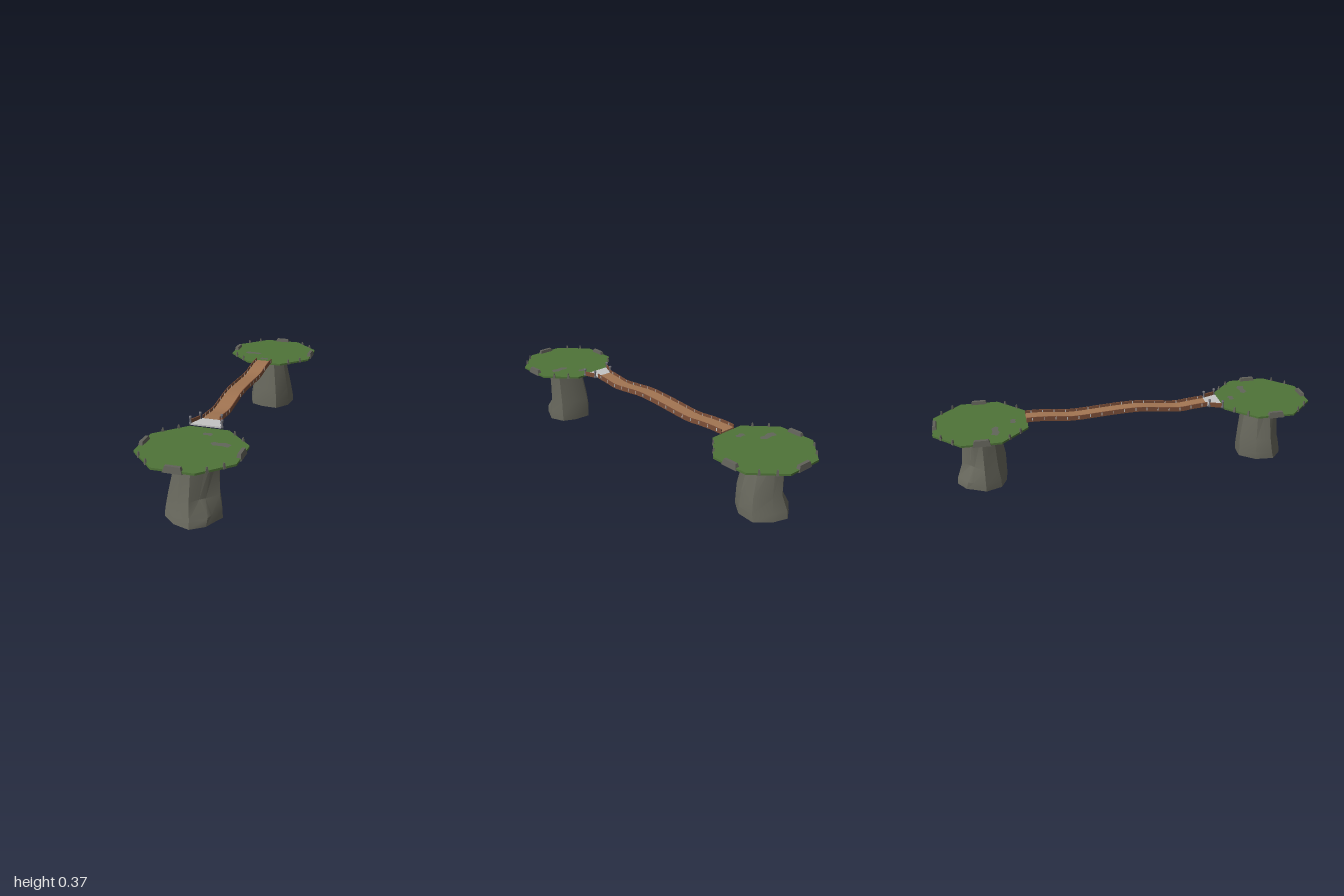
import * as THREE from 'three';
import { toCreasedNormals } from 'three/addons/utils/BufferGeometryUtils.js';

const mat = (name, color, side = THREE.FrontSide) => {
  const m = new THREE.MeshStandardMaterial({ color, side });
  m.name = name;
  return m;
};

export function createModel() {
  const grass = mat('grass', 0x4f7438);
  const rock = mat('rock', 0x69695e, THREE.DoubleSide);
  const stone = mat('edgeStone', 0x62625a);
  const patch = mat('barePatch', 0x62665a);
  const wood = mat('deckWood', 0xa27552);
  const darkWood = mat('railWood', 0x7d4f38);
  const pale = mat('paleStone', 0xc4c4c4);
  const iron = mat('postGrey', 0x74747c);

  const model = new THREE.Group();
  model.name = 'islandBridge';
  const add = (parent, name, geo, m, x = 0, y = 0, z = 0, ry = 0) => {
    const mesh = new THREE.Mesh(geo, m);
    mesh.name = name;
    mesh.position.set(x, y, z);
    mesh.rotation.y = ry;
    parent.add(mesh);
    return mesh;
  };

  // Box whose top is narrower than its base, standing on y = 0
  const taperedBox = (w, h, d, topW, topD) => {
    const g = new THREE.BoxGeometry(w, h, d).translate(0, h / 2, 0).toNonIndexed();
    const p = g.attributes.position;
    for (let i = 0; i < p.count; i++) {
      if (p.getY(i) > h / 2) p.setXYZ(i, p.getX(i) * topW / w, h, p.getZ(i) * topD / d);
    }
    g.computeVertexNormals();
    return g;
  };

  // Rock column lofted through irregular rings of [x, z]
  const rings = [
    [0, [[.141, 0], [.112, .06], [.095, .1], [.03, .146], [-.05, .12], [-.118, .06], [-.11, -.04], [-.05, -.117], [.04, -.11], [.11, -.08]]],
    [.04, [[.14, 0], [.11, .06], [.1, .09], [.03, .14], [-.045, .115], [-.117, .05], [-.11, -.04], [-.05, -.117], [.04, -.11], [.11, -.08]]],
    [.115, [[.128, 0], [.078, .05], [.055, .07], [.02, .112], [-.035, .1], [-.105, .04], [-.1, -.04], [-.045, -.117], [.04, -.105], [.105, -.07]]],
    [.32, [[.128, 0], [.115, .045], [.09, .06], [.03, .097], [-.02, .09], [-.06, .03], [-.062, -.03], [-.02, -.085], [.05, -.085], [.11, -.06]]],
  ];
  const columnGeometry = () => {
    const pos = [], index = [], n = rings[0][1].length;
    rings.forEach(([y, ring]) => ring.forEach(([x, z]) => pos.push(x, y, z)));
    for (let r = 0; r < rings.length - 1; r++) {
      for (let i = 0; i < n; i++) {
        const a = r * n + i, b = r * n + (i + 1) % n;
        index.push(a, a + n, b, b, a + n, b + n);
      }
    }
    const g = new THREE.BufferGeometry();
    g.setAttribute('position', new THREE.Float32BufferAttribute(pos, 3));
    g.setIndex(index);
    g.computeVertexNormals();
    return toCreasedNormals(g, 0.6);
  };

  const columnGeo = columnGeometry();
  const discGeo = new THREE.CylinderGeometry(.257, .257, .01, 8, 1, false, Math.PI / 8).toNonIndexed();
  discGeo.computeVertexNormals();
  const blockGeo = taperedBox(.09, .03, .026, .07, .016);
  const spikeGeo = taperedBox(.014, .028, .012, .006, .005);

  // Bare ground: a thin jagged polygon
  const patchGeometry = (w, d) => {
    const s = new THREE.Shape([[-.5, .1], [-.3, -.4], [.1, -.3], [.4, -.5], [.5, .2], [.2, .5], [-.1, .3], [-.35, .45]]
      .map(([x, y]) => new THREE.Vector2(x * w, y * d)));
    return new THREE.ShapeGeometry(s).rotateX(-Math.PI / 2);
  };

  const makeIsland = (name) => {
    const g = new THREE.Group();
    g.name = name;
    add(g, 'rockColumn', columnGeo, rock);
    add(g, 'grassPlatform', discGeo, grass, 0, .323, 0);
    // Stone blocks on the three free flats
    for (const a of [0, Math.PI / 2, -Math.PI / 2]) {
      add(g, 'edgeBlock', blockGeo, stone, Math.sin(a) * .229, .315, Math.cos(a) * .229, a);
    }
    // Small spikes, two on each diagonal edge
    for (const sx of [-1, 1]) for (const sz of [-1, 1]) {
      for (const [x, z] of [[.138, .195], [.195, .138]]) {
        add(g, 'edgeSpike', spikeGeo, stone, sx * x, .318, sz * z, sx * sz * Math.PI / 4);
      }
    }
    add(g, 'largePatch', patchGeometry(.1, .045), patch, .11, .3288, -.07);
    add(g, 'smallPatch', patchGeometry(.05, .035), patch, .016, .3288, -.164);
    model.add(g);
    return g;
  };
  makeIsland('frontIsland').position.set(.01, 0, .758);
  const back = makeIsland('backIsland');
  back.position.set(-.01, 0, -.758);
  back.rotation.y = Math.PI;

  // Wavy bridge: side profiles along the curve, extruded across x
  const bridge = new THREE.Group();
  bridge.name = 'bridge';
  model.add(bridge);
  const curve = new THREE.SplineCurve([
    [.435, .333], [.36, .326], [.28, .318], [.18, .327], [.08, .337], [-.02, .336],
    [-.12, .33], [-.28, .32], [-.38, .328], [-.46, .333], [-.525, .333],
  ].map(([z, y]) => new THREE.Vector2(-z, y)));
  const line = curve.getPoints(60);
  const strip = (x0, x1, low, high) => {
    const at = (dy) => line.map((p) => new THREE.Vector2(p.x, p.y + dy));
    const shape = new THREE.Shape([...at(low), ...at(high).reverse()]);
    return new THREE.ExtrudeGeometry(shape, { depth: x1 - x0, bevelEnabled: false })
      .rotateY(Math.PI / 2).translate(x0, 0, 0);
  };
  add(bridge, 'deck', strip(-.053, .032, -.002, .006), wood);
  add(bridge, 'rightRail', strip(-.056, -.052, -.004, .021), darkWood);
  add(bridge, 'leftRail', strip(.031, .035, -.004, .021), darkWood);
  const stakeGeo = new THREE.BoxGeometry(.006, .016, .004);
  for (let i = 0; i < 16; i++) {
    const p = curve.getPointAt((i + .5) / 16);
    for (const x of [-.054, .033]) add(bridge, 'railStake', stakeGeo, pale, x, p.y + .011, -p.x);
  }

  // Flared landing at the front island
  const landing = new THREE.Group();
  landing.name = 'landing';
  model.add(landing);
  const flare = new THREE.Shape([[-.088, -.515], [.066, -.515], [.034, -.435], [-.055, -.435]]
    .map(([x, y]) => new THREE.Vector2(x, y)));
  add(landing, 'landingSlab', new THREE.ExtrudeGeometry(flare, { depth: .008, bevelEnabled: false })
    .rotateX(-Math.PI / 2), pale, 0, .33, 0);

  // Turned posts joined by low wing walls
  const postGeo = new THREE.LatheGeometry([[0, 0], [.008, 0], [.008, .008], [.005, .012], [.004, .03], [.007, .034], [.007, .042], [0, .042]]
    .map(([x, y]) => new THREE.Vector2(x, y)), 8);
  for (const [x0, x1] of [[-.063, -.09], [.046, .068]]) {
    const z0 = .445, z1 = .508;
    add(landing, 'post', postGeo, iron, x0, .33, z0);
    add(landing, 'post', postGeo, iron, x1, .33, z1);
    add(landing, 'wingWall', new THREE.BoxGeometry(.006, .024, Math.hypot(x1 - x0, z1 - z0)), darkWood,
      (x0 + x1) / 2, .343, (z0 + z1) / 2, Math.atan2(x1 - x0, z1 - z0));
  }
  return model;
}
